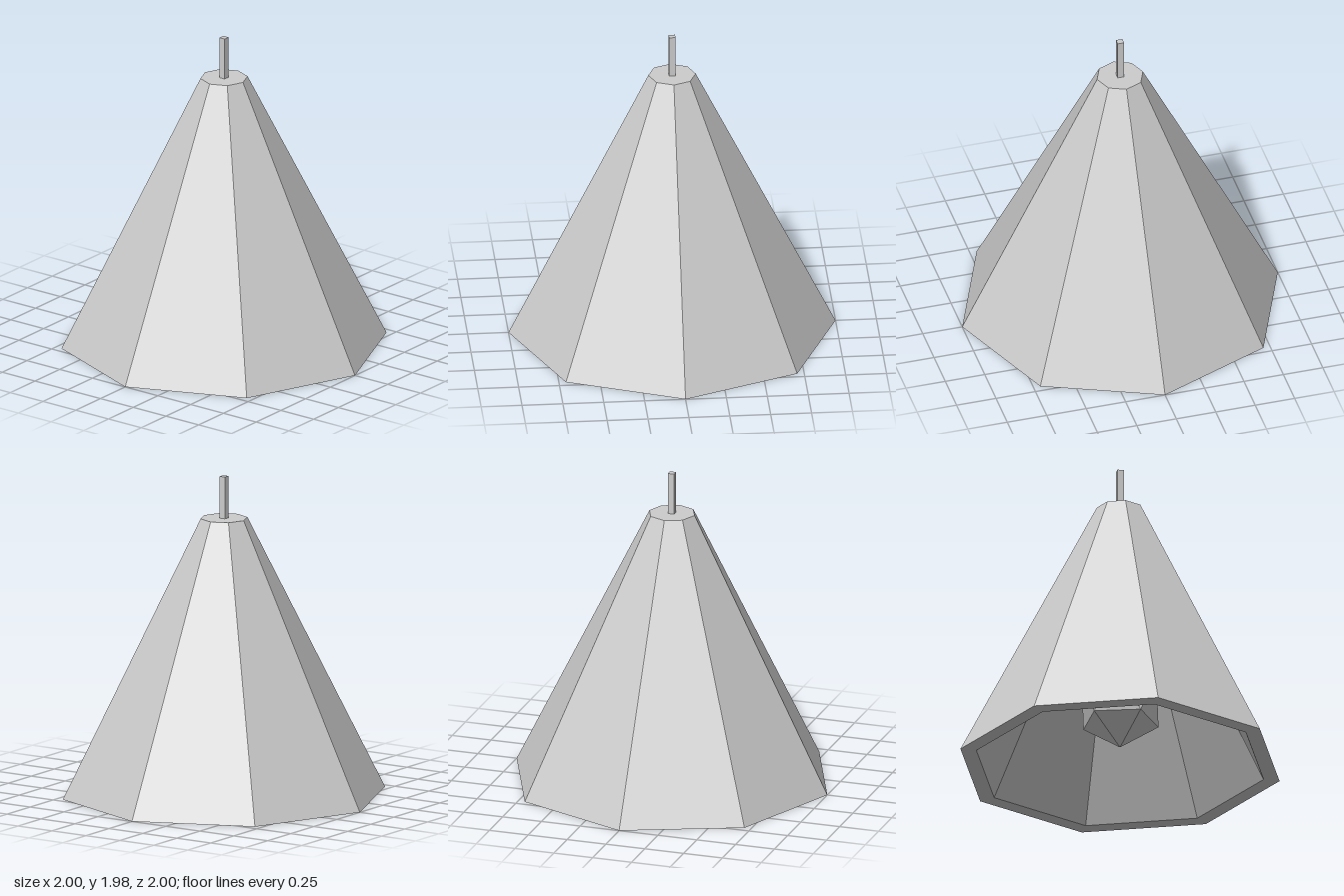
import * as THREE from 'three';
import { ConvexGeometry } from 'three/addons/geometries/ConvexGeometry.js';

export function createModel() {
  const lamp = new THREE.Group();
  lamp.name = 'pendantLamp';
  const material = new THREE.MeshStandardMaterial({ color: 0xcccccc, flatShading: true });

  const add = (name, geometry, y = 0) => {
    const mesh = new THREE.Mesh(geometry, material);
    mesh.name = name;
    mesh.position.y = y;
    lamp.add(mesh);
    return mesh;
  };

  // Thick eight-sided shade: inner ceiling, inner wall, rim, outer wall, top cap
  const profile = [
    [0, 1.63], [0.09, 1.63], [0.9, 0], [1, 0], [0.145, 1.715], [0, 1.715],
  ].map(([r, y]) => new THREE.Vector2(r, y));
  add('shade', new THREE.LatheGeometry(profile, 8));

  // Square cord running through the cap down to the bulb
  const cordTop = 1.975, cordBottom = 0.66;
  add('cord', new THREE.BoxGeometry(0.04, cordTop - cordBottom, 0.04), (cordTop + cordBottom) / 2);

  // Faceted twenty-sided bulb: two poles and two staggered five-point rings
  const radius = 0.27, ringRadius = radius * 0.894, ringHeight = radius * 0.447;
  const points = [new THREE.Vector3(0, -radius, 0), new THREE.Vector3(0, radius, 0)];
  for (let i = 0; i < 10; i++) {
    const a = (i * Math.PI) / 5;
    points.push(new THREE.Vector3(
      ringRadius * Math.sin(a), i % 2 ? ringHeight : -ringHeight, ringRadius * Math.cos(a)));
  }
  add('bulb', new ConvexGeometry(points).scale(1, 1.08, 1), 0.41);

  return lamp;
}
